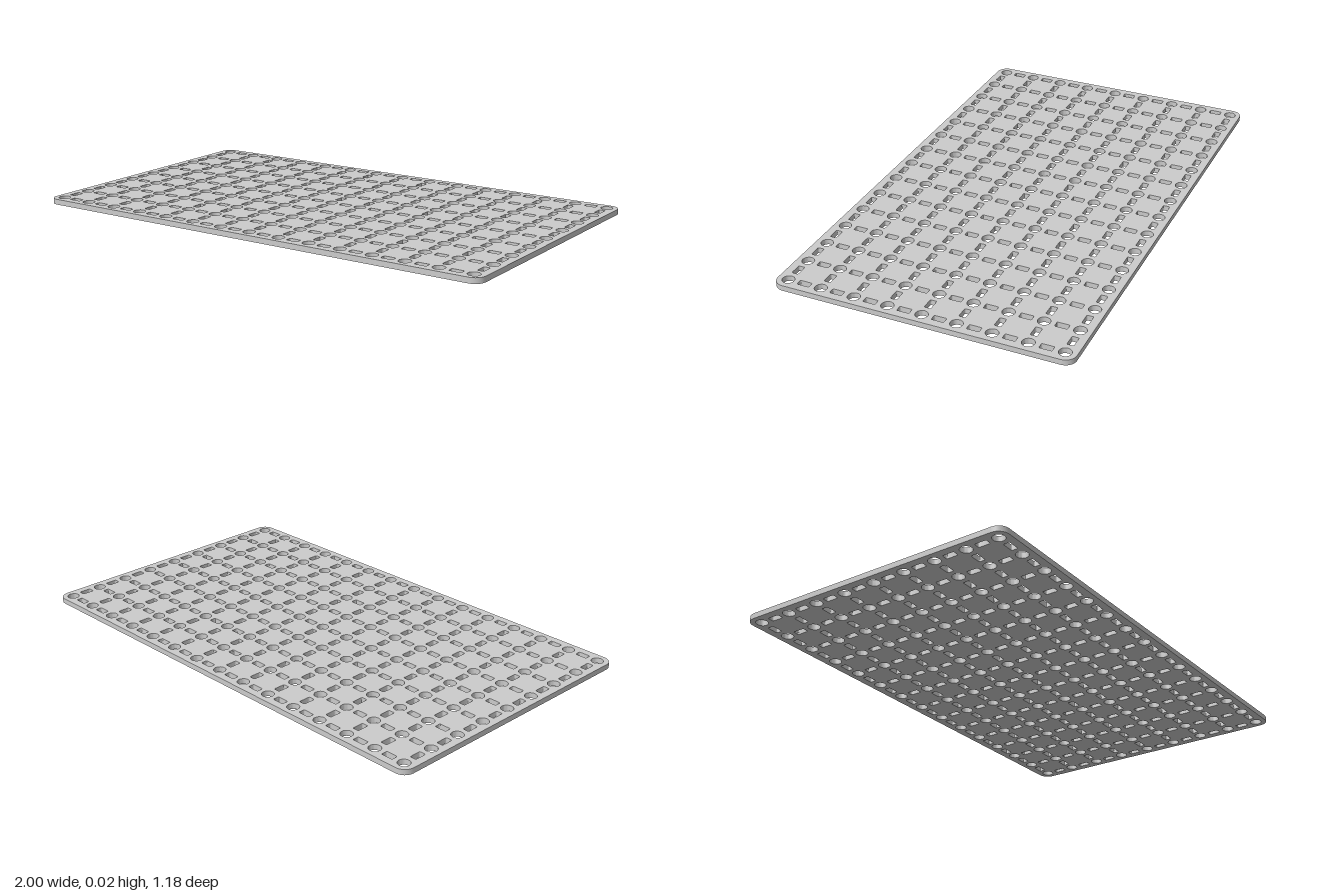
import * as THREE from 'three';
import { toCreasedNormals } from 'three/addons/utils/BufferGeometryUtils.js';

const PITCH = 0.1365, COLS = 7, ROWS = 4; // grid reaches this many steps each way
const THICKNESS = 0.022, HOLE_RADIUS = 0.024;
const SLOT_LENGTH = 0.049, SLOT_WIDTH = 0.026;

// Outline of a rectangle with rounded corners, n segments per corner
function roundedRect(cx, cy, w, h, r, n) {
  const corners = [[1, 1], [-1, 1], [-1, -1], [1, -1]];
  const points = [];
  corners.forEach(([sx, sy], i) => {
    for (let k = 0; k <= n; k++) {
      const a = (i + k / n) * Math.PI / 2;
      points.push(new THREE.Vector2(
        cx + sx * (w / 2 - r) + r * Math.cos(a),
        cy + sy * (h / 2 - r) + r * Math.sin(a)));
    }
  });
  return points;
}

// Outline of a round hole
function circle(cx, cy, r, n) {
  return Array.from({ length: n }, (_, i) => {
    const a = i / n * Math.PI * 2;
    return new THREE.Vector2(cx + r * Math.cos(a), cy + r * Math.sin(a));
  });
}

export function createModel() {
  const group = new THREE.Group();
  group.name = 'perforatedPanel';

  const shape = new THREE.Shape(roundedRect(0, 0, 2, 1.18, 0.043, 8));
  const cut = (points) => shape.holes.push(new THREE.Path(points));

  for (let i = -COLS; i <= COLS; i++) {
    for (let j = -ROWS; j <= ROWS; j++) {
      const x = i * PITCH, y = j * PITCH;
      // round hole on the grid point
      cut(circle(x, y, HOLE_RADIUS, 24));
      // slots midway to the next holes along the row and the column
      if (i < COLS) cut(roundedRect(x + PITCH / 2, y, SLOT_LENGTH, SLOT_WIDTH, 0.004, 3));
      if (j < ROWS) cut(roundedRect(x, y + PITCH / 2, SLOT_WIDTH, SLOT_LENGTH, 0.004, 3));
    }
  }

  // flat plate, laid down with its underside on y = 0
  const geometry = new THREE.ExtrudeGeometry(shape, { depth: THICKNESS, bevelEnabled: false });
  geometry.rotateX(-Math.PI / 2);
  const plate = new THREE.Mesh(
    toCreasedNormals(geometry, 0.6),
    new THREE.MeshStandardMaterial({ color: 0xcccccc }));
  plate.name = 'plate';
  group.add(plate);
  return group;
}
